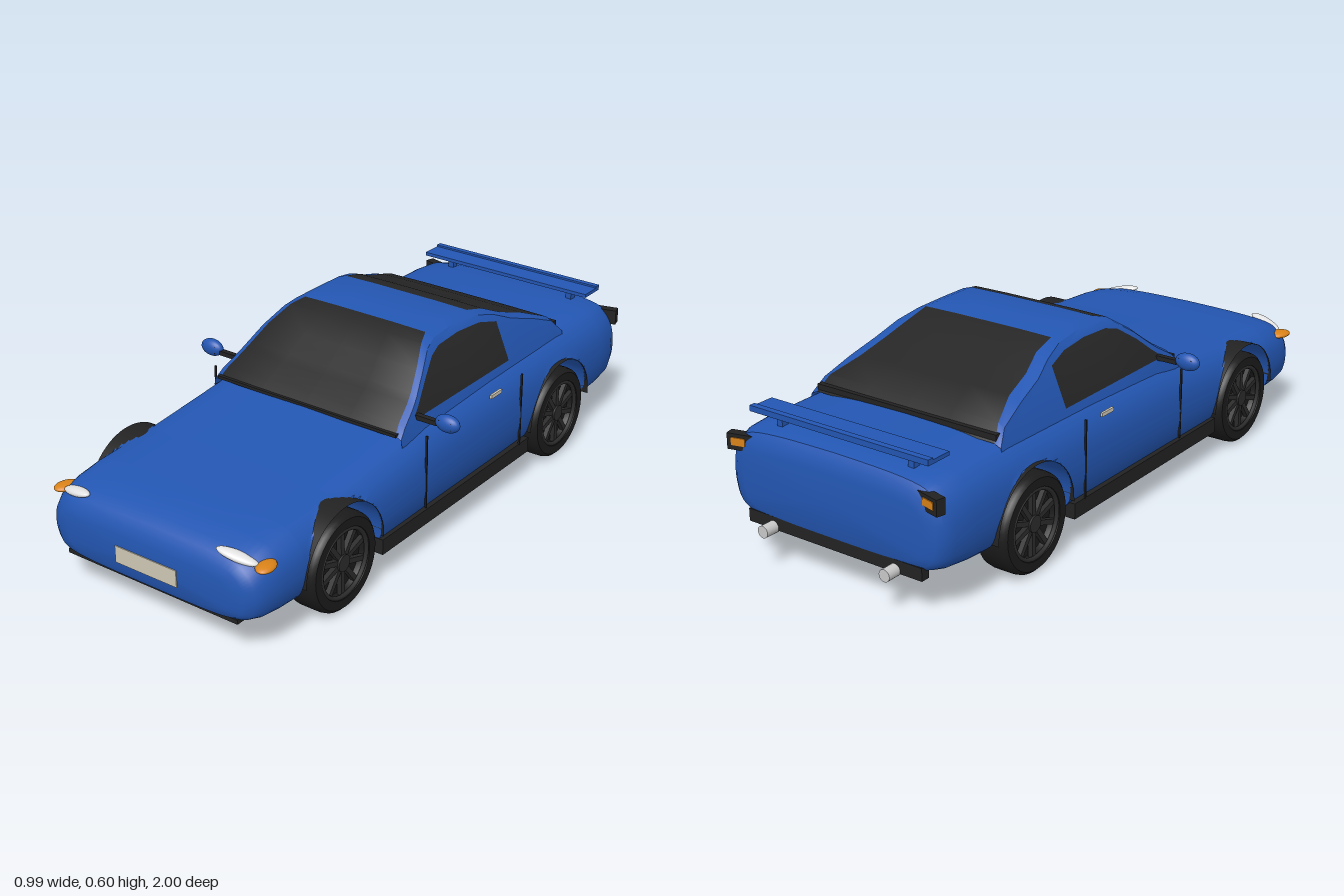
import * as THREE from 'three';
import { toCreasedNormals } from 'three/addons/utils/BufferGeometryUtils.js';

const mat = (name, color, side = THREE.FrontSide) => {
  const m = new THREE.MeshStandardMaterial({ color, side });
  m.name = name;
  return m;
};

const ARCH_Z = [0.62, -0.55], ARCH_Y = 0.155, ARCH_R = 0.182;

// Linear lookup in a table of [key, values...], keys ascending
function lookup(table, k) {
  let i = 0;
  while (i < table.length - 2 && k > table[i + 1][0]) i++;
  const a = table[i], b = table[i + 1];
  const t = THREE.MathUtils.clamp((k - a[0]) / (b[0] - a[0]), 0, 1);
  return a.slice(1).map((v, n) => v + (b[n + 1] - v) * t);
}

// Skin over rows of points running back to front; pick() gives a material slot
function loft(rows, { closed = false, caps = false, pick = () => 0, crease = 0.6 } = {}) {
  const n = rows[0].length, pos = rows.flat(2), slots = [[], []];
  const last = rows.length - 1, span = closed ? n : n - 1;
  for (let i = 0; i < last; i++) for (let j = 0; j < span; j++) {
    const a = i * n + j, b = i * n + (j + 1) % n, c = b + n, d = a + n;
    slots[pick(i, j)].push(a, b, d, b, c, d);
  }
  if (caps) for (const r of [0, last]) {
    const id = pos.length / 3, row = rows[r];
    const ys = row.map(p => p[1]);
    pos.push(0, (Math.min(...ys) + Math.max(...ys)) / 2, row[0][2]);
    for (let j = 0; j < n; j++) {
      const a = r * n + j, b = r * n + (j + 1) % n;
      slots[0].push(id, ...(r ? [a, b] : [b, a]));
    }
  }
  const g = new THREE.BufferGeometry();
  g.setAttribute('position', new THREE.Float32BufferAttribute(pos, 3));
  g.setIndex(slots.flat());
  g.addGroup(0, slots[0].length, 0);
  if (slots[1].length) g.addGroup(slots[0].length, slots[1].length, 1);
  return toCreasedNormals(g, crease);
}

// Lower body: rounded sections along z with the wheel arches cut through
function bodyGeometry() {
  const stations = [ // z, half width, bottom, top
    [-0.957, 0.33, 0.16, 0.35], [-0.95, 0.365, 0.14, 0.385], [-0.935, 0.385, 0.13, 0.407],
    [-0.9, 0.398, 0.122, 0.417], [-0.82, 0.405, 0.113, 0.422], [-0.6, 0.408, 0.1, 0.424],
    [-0.2, 0.408, 0.09, 0.42], [0.15, 0.408, 0.09, 0.408], [0.28, 0.408, 0.09, 0.392],
    [0.6, 0.407, 0.092, 0.358], [0.8, 0.405, 0.095, 0.346], [0.88, 0.4, 0.097, 0.336],
    [0.94, 0.39, 0.1, 0.322], [0.975, 0.372, 0.106, 0.304], [0.992, 0.345, 0.116, 0.28],
    [1.0, 0.3, 0.135, 0.25]];
  const half = new THREE.SplineCurve([[0, 0], [0.5, 0.005], [0.8, 0.04], [0.94, 0.13], [0.99, 0.3], [1, 0.5],
    [0.975, 0.7], [0.91, 0.85], [0.8, 0.94], [0.5, 0.985], [0, 1]].map(p => new THREE.Vector2(...p))).getPoints(36);
  const ring = [...half, ...half.slice(1, -1).reverse().map(p => new THREE.Vector2(-p.x, p.y))];
  const zs = stations.map(s => s[0]);
  for (const zc of ARCH_Z) {
    for (let k = 0; k <= 24; k++) zs.push(zc + ARCH_R * Math.cos(k / 24 * Math.PI));
    zs.push(zc - ARCH_R - 0.0005, zc + ARCH_R + 0.0005);
  }
  zs.sort((a, b) => a - b);
  const rows = zs.map(z => {
    const [w, b, t] = lookup(stations, z);
    let cut = 0;
    for (const zc of ARCH_Z) {
      const d = Math.abs(z - zc);
      if (d < ARCH_R + 1e-5) cut = ARCH_Y + Math.sqrt(Math.max(0, ARCH_R ** 2 - d * d));
    }
    return ring.map(p => [p.x * w, Math.max(cut, b + p.y * (t - b)), z]);
  });
  return loft(rows, { closed: true, caps: true });
}

// Cabin: slot 1 is glass (windscreen, rear window, side windows)
function cabinGeometry() {
  const heights = [[-0.64, 0.415], [-0.6, 0.46], [-0.5, 0.5], [-0.4, 0.532], [-0.32, 0.568], [-0.24, 0.589],
    [-0.13, 0.596], [-0.02, 0.592], [0.03, 0.578], [0.1, 0.53], [0.16, 0.48], [0.19, 0.458], [0.25, 0.422], [0.28, 0.395]];
  const widths = [[0.36, 0.36], [0.4, 0.352], [0.45, 0.333], [0.5, 0.313], [0.55, 0.288], [0.58, 0.262], [0.6, 0.23]];
  const xs = y => lookup(widths, y)[0];
  const rows = heights.map(([z, h]) => {
    const side = [0.36, Math.min(0.415, h - 0.03), Math.max(h - 0.032, Math.min(0.417, h - 0.028)), h - 0.012]
      .map(y => [xs(y), y, z]);
    const inner = xs(h) * (z < -0.3 && z > -0.55 ? 0.88 : 0.95);
    const right = [...side, [inner, h - 0.002, z], [inner / 2, h, z]];
    return [...right, [0, h, z], ...right.slice().reverse().map(([x, y, q]) => [-x, y, q])];
  });
  const pick = (i, j) => {
    const z = (heights[i][0] + heights[i + 1][0]) / 2;
    if (j === 1 || j === 10) return z > -0.32 && z < 0.19 ? 1 : 0;
    return j >= 4 && j <= 7 && (z > -0.02 || z < -0.24) ? 1 : 0;
  };
  return loft(rows, { pick, crease: 0.5 });
}

export function createModel() {
  const car = new THREE.Group();
  car.name = 'sportsCar';
  const blue = mat('bluePaint', 0x2356b2, THREE.DoubleSide), glass = mat('darkGlass', 0x262626, THREE.DoubleSide);
  const black = mat('blackTrim', 0x222222, THREE.DoubleSide), rubber = mat('tyreRubber', 0x1b1b1b);
  const rim = mat('darkRim', 0x2b2b2b), white = mat('lampWhite', 0xe4e4e4), orange = mat('lampOrange', 0xd98218);
  const cream = mat('plateCream', 0xcfc8b4), silver = mat('silver', 0xc8c8c8);

  const add = (name, geo, m, x = 0, y = 0, z = 0, parent = car) => {
    const mesh = new THREE.Mesh(geo, m);
    mesh.name = name;
    mesh.position.set(x, y, z);
    parent.add(mesh);
    return mesh;
  };
  const box = (name, m, w, h, d, x, y, z, parent) => add(name, new THREE.BoxGeometry(w, h, d), m, x, y, z, parent);
  const ball = (name, m, w, h, d, x, y, z) => {
    const mesh = add(name, new THREE.SphereGeometry(1, 24, 14), m, x, y, z);
    mesh.scale.set(w, h, d);
    return mesh;
  };

  add('body', bodyGeometry(), blue);
  add('cabin', cabinGeometry(), [blue, glass]);

  // Arch liners: half cylinders across the car
  const liner = (name, x0, x1, z) => {
    const g = new THREE.CylinderGeometry(ARCH_R, ARCH_R, x1 - x0, 32, 1, true, 0, Math.PI);
    g.rotateZ(Math.PI / 2); // axis along x, arc over the top
    add(name, g, black, (x0 + x1) / 2, ARCH_Y + 0.001, z);
  };
  liner('rearArchLiner', -0.411, 0.411, ARCH_Z[1]);

  // Wheel pieces, axis along x, outer face towards +x
  const tyre = new THREE.LatheGeometry([[0.108, -0.055], [0.14, -0.055], [0.15, -0.045], [0.153, -0.03], [0.153, 0.03],
    [0.15, 0.045], [0.14, 0.055], [0.112, 0.055], [0.106, 0.03], [0.106, -0.03], [0.108, -0.055]]
    .map(p => new THREE.Vector2(...p)), 40);
  tyre.rotateZ(-Math.PI / 2);
  const makeWheel = (s, z) => {
    const w = new THREE.Group();
    w.name = 'wheel';
    w.position.set(s * 0.355, 0.153, z);
    if (s < 0) w.rotation.y = Math.PI;
    add('tyre', toCreasedNormals(tyre, 0.7), rubber, 0, 0, 0, w);
    const disc = (name, r, len, x, m) => add(name, new THREE.CylinderGeometry(r, r, len, 32).rotateZ(-Math.PI / 2), m, x, 0, 0, w);
    disc('rimBack', 0.108, 0.02, 0.012, rubber);
    disc('hub', 0.026, 0.03, 0.035, rim);
    add('rimRing', new THREE.TorusGeometry(0.106, 0.007, 8, 40).rotateY(Math.PI / 2), rim, 0.048, 0, 0, w);
    for (let k = 0; k < 10; k++) {
      const a = k * Math.PI / 5;
      box('spoke', rim, 0.016, 0.09, 0.016, 0.036, 0.062 * Math.cos(a), 0.062 * Math.sin(a), w).rotation.x = a;
    }
    car.add(w);
  };

  for (const s of [1, -1]) {
    for (const z of ARCH_Z) makeWheel(s, z);
    liner('frontArchLiner', s > 0 ? 0.325 : -0.411, s > 0 ? 0.411 : -0.325, ARCH_Z[0]);

    // Sills, door gaps and handles
    box('sill', black, 0.035, 0.05, 0.8, s * 0.39, 0.118, 0.04);
    box('frontDoorGap', black, 0.006, 0.24, 0.005, s * 0.406, 0.27, 0.22);
    box('rearDoorGap', black, 0.006, 0.25, 0.005, s * 0.406, 0.265, -0.305);
    box('doorHandle', cream, 0.008, 0.012, 0.06, s * 0.393, 0.368, -0.175);

    // Mirrors
    box('mirrorArm', black, 0.075, 0.015, 0.018, s * 0.378, 0.42, 0.18);
    ball('mirror', blue, 0.042, 0.028, 0.022, s * 0.451, 0.428, 0.18);
    box('mirrorTrim', black, 0.045, 0.024, 0.034, s * 0.451, 0.428, 0.18);

    // Lamps
    const head = ball('headlight', white, 0.064, 0.013, 0.022, s * 0.298, 0.302, 0.955);
    head.rotation.set(0, s * 0.25, -s * 0.22);
    const turn = ball('turnSignal', orange, 0.028, 0.012, 0.04, s * 0.372, 0.283, 0.925);
    turn.rotation.y = s * 0.25;
    const rear = box('rearLampHousing', black, 0.09, 0.05, 0.03, s * 0.343, 0.355, -0.938);
    rear.rotation.y = s * 0.25;
    const lamp = box('rearLamp', orange, 0.045, 0.024, 0.009, s * 0.348, 0.357, -0.953);
    lamp.rotation.y = s * 0.25;

    // Exhausts and spoiler posts
    add('exhaust', new THREE.CylinderGeometry(0.019, 0.019, 0.09, 20).rotateX(Math.PI / 2), silver, s * 0.225, 0.125, -0.955);
    box('spoilerPost', blue, 0.02, 0.045, 0.025, s * 0.24, 0.432, -0.88);
  }

  // Spoiler blade
  box('spoiler', blue, 0.65, 0.012, 0.09, 0, 0.453, -0.878);
  box('spoilerLip', blue, 0.65, 0.01, 0.02, 0, 0.46, -0.913);

  // Front plate, bumper strips, cowl and rear window trim
  box('numberPlate', cream, 0.228, 0.054, 0.008, 0, 0.184, 0.999);
  box('frontLip', black, 0.635, 0.014, 0.03, 0, 0.115, 0.972);
  box('rearBumperStrip', black, 0.64, 0.04, 0.03, 0, 0.137, -0.94);
  box('cowl', black, 0.68, 0.01, 0.03, 0, 0.394, 0.27);
  box('rearWindowTrim', black, 0.66, 0.02, 0.05, 0, 0.427, -0.61);
  box('rearAxle', black, 0.62, 0.03, 0.03, 0, 0.153, ARCH_Z[1]);
  return car;
}
